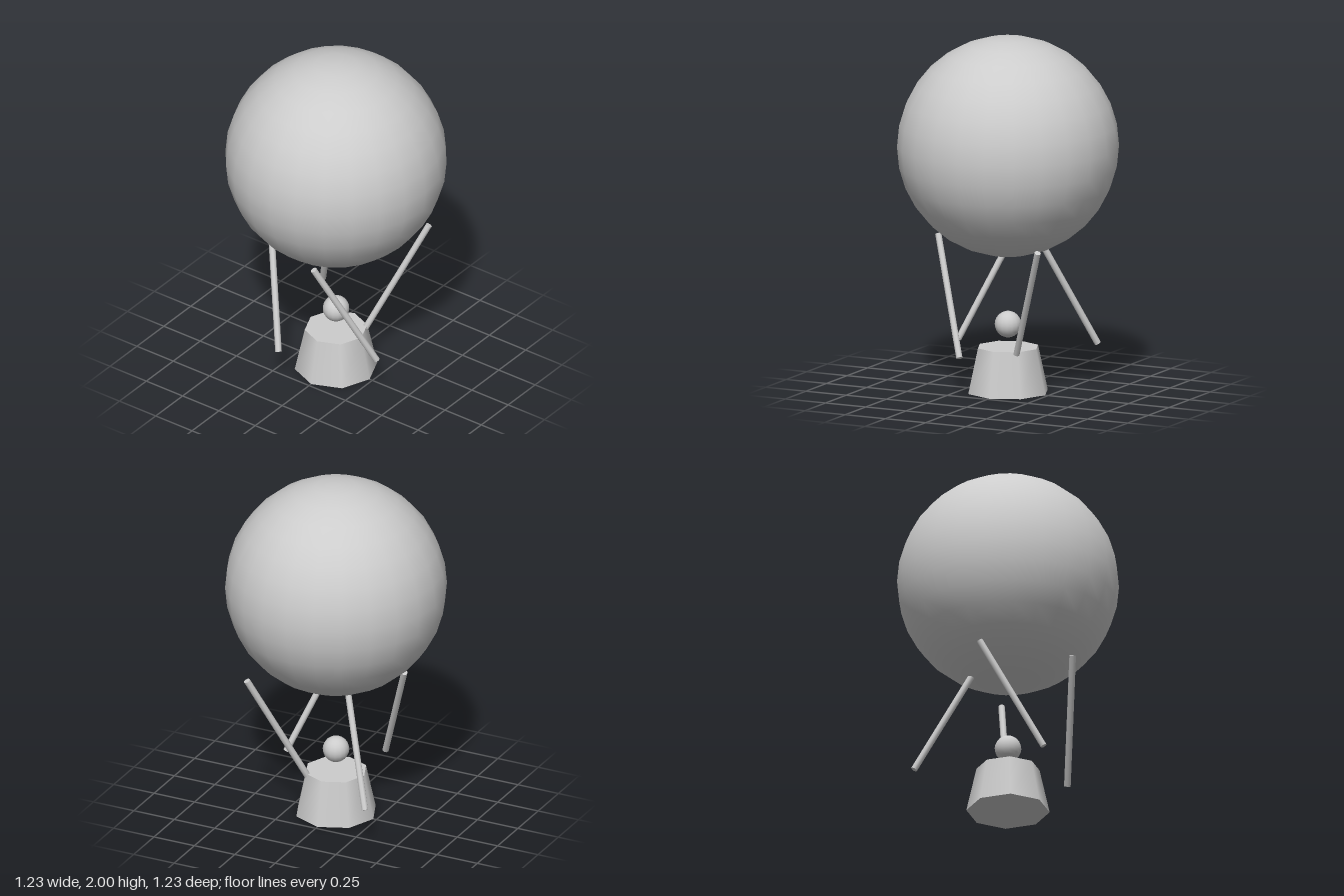
import * as THREE from 'three';

export function createModel() {
  const model = new THREE.Group();
  const grey = new THREE.MeshStandardMaterial({ color: 0xcccccc });
  grey.name = 'light grey';

  const add = (name, geometry, x, y, z) => {
    const mesh = new THREE.Mesh(geometry, grey);
    mesh.name = name;
    mesh.position.set(x, y, z);
    model.add(mesh);
    return mesh;
  };

  // Large envelope, small burner ball and tapered eight-sided basket
  add('balloon', new THREE.SphereGeometry(0.615, 24, 16), 0, 1.385, 0);
  add('burner', new THREE.SphereGeometry(0.074, 16, 12), 0, 0.381, 0);
  add('basket', new THREE.CylinderGeometry(0.175, 0.231, 0.254, 8), 0, 0.127, 0);

  // Four slanted struts, each leaning a different way from its corner
  const up = new THREE.Vector3(0, 1, 0);
  const corner = 0.243, leanX = 0.128, leanZ = 0.122, rise = 0.318;
  const struts = [
    ['strutFrontLeft', 1, 1, 1, 1],
    ['strutFrontRight', -1, 1, -1, -1],
    ['strutBackLeft', 1, -1, -1, 1],
    ['strutBackRight', -1, -1, 1, -1],
  ];
  for (const [name, sx, sz, dx, dz] of struts) {
    const half = new THREE.Vector3(dx * leanX, rise, dz * leanZ);
    const geometry = new THREE.CylinderGeometry(0.0185, 0.0185, half.length() * 2, 8);
    const strut = add(name, geometry, sx * corner, 0.56, sz * corner);
    strut.quaternion.setFromUnitVectors(up, half.normalize());
  }

  return model;
}
